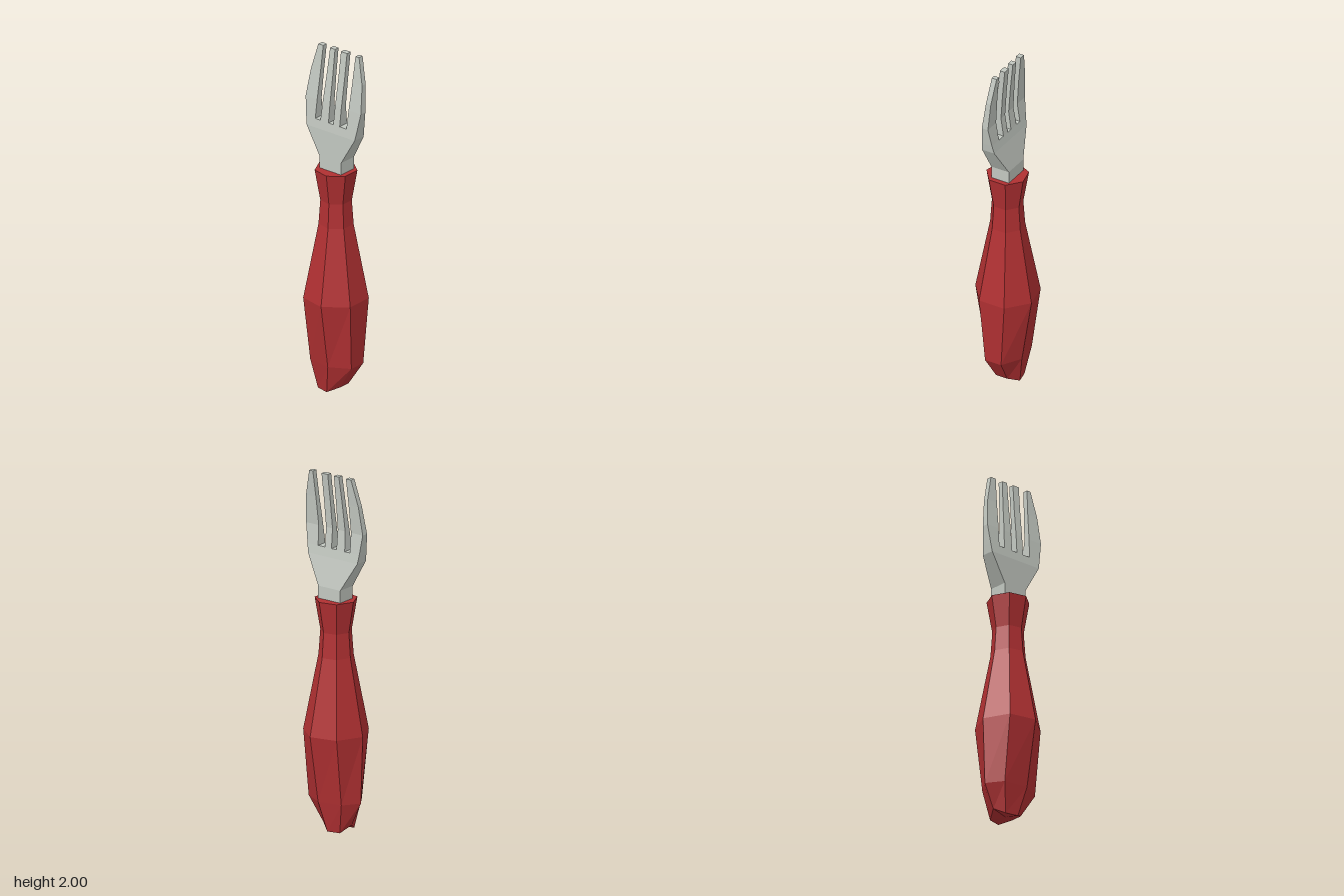
import * as THREE from 'three';

// Closed solid through rings of [x, y, z] points, each counterclockwise from above
function loft(rings) {
  const pos = [];
  const tri = (a, b, c) => pos.push(...a, ...b, ...c);
  const n = rings[0].length;
  const centre = (ring) => [0, 1, 2].map((i) => ring.reduce((s, p) => s + p[i], 0) / n);
  const first = rings[0], last = rings[rings.length - 1];
  const bottom = centre(first), top = centre(last);
  for (let k = 0; k < n; k++) {
    const m = (k + 1) % n;
    for (let r = 0; r < rings.length - 1; r++) {
      const a = rings[r], b = rings[r + 1];
      tri(a[k], a[m], b[m]);
      tri(a[k], b[m], b[k]);
    }
    tri(bottom, first[m], first[k]);
    tri(top, last[k], last[m]);
  }
  const g = new THREE.BufferGeometry();
  g.setAttribute('position', new THREE.Float32BufferAttribute(pos, 3));
  g.computeVertexNormals();
  return g;
}

// Seven-sided handle ring, flat side to the front
function handleRing([y, rx, rz, cz], lift = []) {
  return Array.from({ length: 7 }, (_, k) => {
    const a = (Math.PI / 7) * (2 * k + 1);
    return [rx * Math.sin(a), y + (lift[k] || 0), cz + rz * Math.cos(a)];
  });
}

// Rectangular metal section between two thickness and two width limits
const bladeRing = (y, x0, x1, zHi, zLo) => [[x0, y, zHi], [x1, y, zHi], [x1, y, zLo], [x0, y, zLo]];

export function createModel() {
  const red = new THREE.MeshStandardMaterial({ color: 0xb03032, flatShading: true });
  red.name = 'red handle';
  const steel = new THREE.MeshStandardMaterial({ color: 0xc2c7c0, flatShading: true });
  steel.name = 'steel';

  const group = new THREE.Group();
  const add = (name, rings, material) => {
    const mesh = new THREE.Mesh(loft(rings), material);
    mesh.name = name;
    group.add(mesh);
  };

  // Handle: y, x radius, z radius, z centre
  const handle = [
    [0.17, 0.116, 0.166, -0.01],
    [0.55, 0.181, 0.181, -0.008],
    [0.98, 0.097, 0.097, -0.008],
    [1.12, 0.087, 0.087, -0.008],
    [1.3, 0.118, 0.118, -0.008],
  ].map((r) => handleRing(r));
  handle.unshift(handleRing([0, 0.081, 0.087, -0.028], [0.03, 0, 0, 0.037, 0, 0, 0.03]));
  add('handle', handle, red);

  // Neck and palm of the fork
  add('palm', [
    bladeRing(1.28, -0.053, 0.057, 0.07, -0.08),
    bladeRing(1.37, -0.053, 0.057, 0.07, -0.08),
    bladeRing(1.53, -0.053, 0.023, 0.165, -0.17),
    bladeRing(1.58, -0.048, 0.015, 0.175, -0.177),
  ], steel);

  // Tines: shared curve as y, back x, front x, outer z limits
  const curve = [
    [1.58, -0.048, 0.015, 0.175, -0.177],
    [1.69, -0.037, 0.001, 0.195, -0.19],
    [1.85, -0.016, 0.014, 0.186, -0.17],
    [2.0, 0, 0.03, 0.152, -0.132],
  ];
  // Edges of the three slots at their root and at the tips
  const root = [0.103, 0.056, 0.012, -0.022, -0.078, -0.114];
  const tip = [0.127, 0.068, 0.026, -0.016, -0.05, -0.098];
  for (let i = 0; i < 4; i++) {
    const rings = curve.map(([y, x0, x1, zHi, zLo]) => {
      const t = (y - 1.58) / 0.42;
      const edge = (j) => THREE.MathUtils.lerp(root[j], tip[j], t);
      return bladeRing(y, x0, x1, i === 0 ? zHi : edge(2 * i - 1), i === 3 ? zLo : edge(2 * i));
    });
    add('tine' + (i + 1), rings, steel);
  }
  return group;
}
